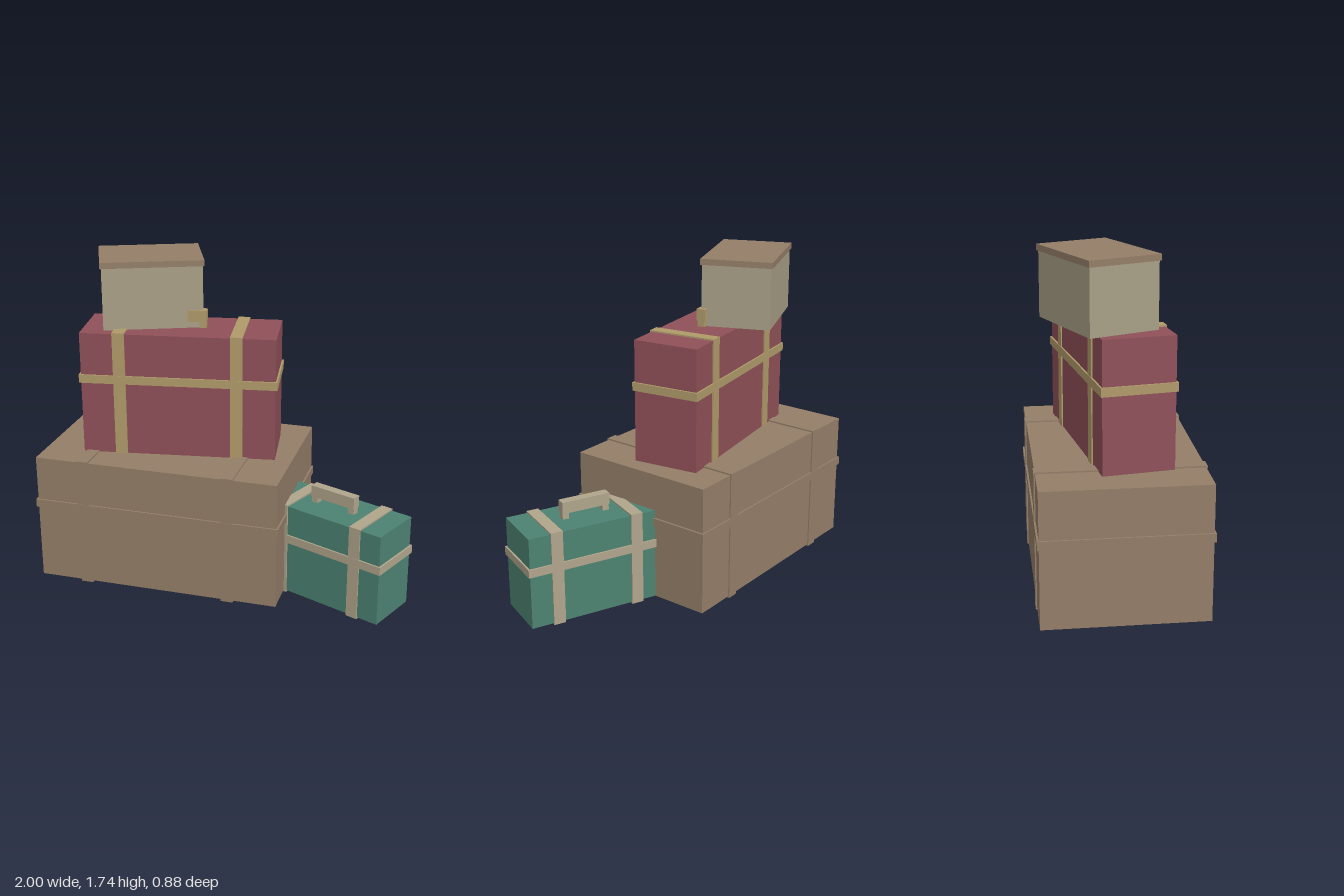
import * as THREE from 'three';

const mat = (name, color) => {
  const m = new THREE.MeshStandardMaterial({ color });
  m.name = name;
  return m;
};

function addBox(parent, name, material, size, pos) {
  const mesh = new THREE.Mesh(new THREE.BoxGeometry(...size), material);
  mesh.position.set(...pos);
  mesh.name = name;
  parent.add(mesh);
  return mesh;
}

// A case with two upright straps, one belt and an optional carrying handle.
// Its origin is the middle of its underside.
function makeCase({ name, size: [l, h, d], at, turn, body, strap, beltY, beltH = 0.045, handle }) {
  const g = new THREE.Group();
  g.name = name;
  g.position.set(...at);
  g.rotation.y = turn;

  addBox(g, 'caseBody', body, [l, h, d], [0, h / 2, 0]);
  for (const side of [-1, 1]) {
    addBox(g, side < 0 ? 'rightStrap' : 'leftStrap', strap,
      [0.065, h + 0.016, d + 0.014], [side * 0.3 * l, h / 2, 0]);
  }
  addBox(g, 'belt', strap, [l + 0.02, beltH, d + 0.018], [0, beltY, 0]);

  if (handle) {
    const len = 0.266;
    addBox(g, 'handleGrip', strap, [len, 0.063, 0.05], [0, h + 0.0645, 0]);
    for (const side of [-1, 1]) {
      addBox(g, 'handlePost', strap, [0.036, 0.04, 0.038], [side * (len / 2 - 0.02), h + 0.018, 0]);
    }
  }
  return g;
}

export function createModel() {
  const brown = mat('trunk brown', 0x947e68);
  const red = mat('faded red', 0x8f5058);
  const teal = mat('teal', 0x4c8271);
  const gold = mat('gold leather', 0xb09a6a);
  const tan = mat('pale tan leather', 0xb0a58c);
  const cream = mat('cream card', 0xa89f86);

  const model = new THREE.Group();
  model.name = 'luggageStack';

  // Large trunk at the bottom
  model.add(makeCase({
    name: 'trunk', size: [1.324, 0.7, 0.828], at: [-0.33, 0.008, -0.02], turn: 0,
    body: brown, strap: brown, beltY: 0.435,
  }));

  // Red suitcase standing on the trunk
  model.add(makeCase({
    name: 'redSuitcase', size: [1.03, 0.664, 0.362], at: [-0.295, 0.709, -0.02], turn: 0.155,
    body: red, strap: gold, beltY: 0.415, handle: true,
  }));

  // Small teal suitcase leaning against the side of the trunk
  model.add(makeCase({
    name: 'tealSuitcase', size: [0.75, 0.5, 0.298], at: [0.583, 0.008, 0.143], turn: -0.393,
    body: teal, strap: tan, beltY: 0.314, handle: true,
  }));

  // Lidded box on top
  const box = new THREE.Group();
  box.name = 'liddedBox';
  box.position.set(-0.495, 1.374, -0.103);
  box.rotation.y = 0.393;
  addBox(box, 'boxBody', cream, [0.525, 0.333, 0.37], [0, 0.1665, 0]);
  addBox(box, 'boxLid', brown, [0.54, 0.032, 0.385], [0, 0.346, 0]);
  model.add(box);

  return model;
}
